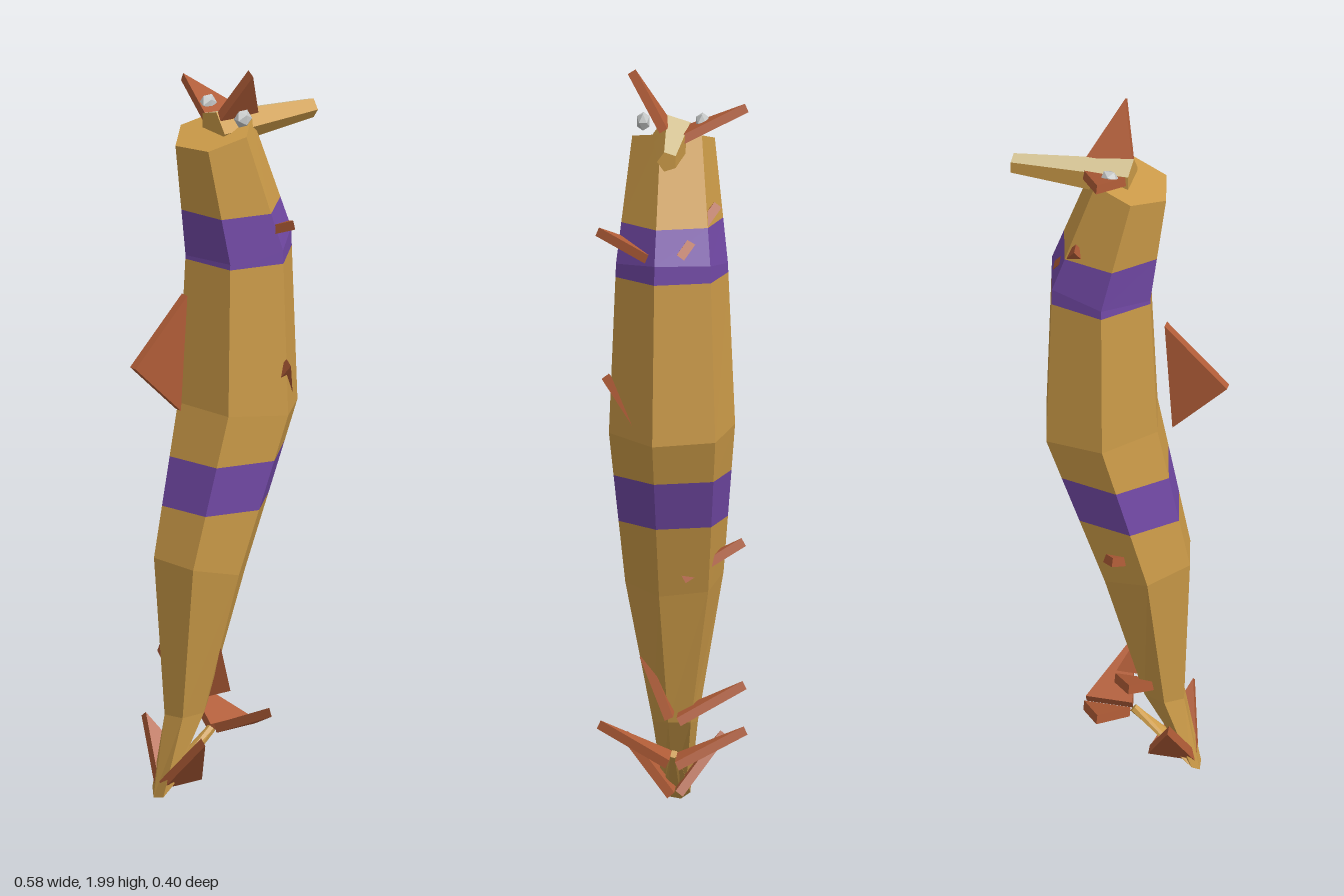
import * as THREE from 'three';

const mat = (name, color) => {
  const m = new THREE.MeshStandardMaterial({ color });
  m.name = name;
  return m;
};
const V = (x, y, z) => new THREE.Vector3(x, y, z);

// Faceted solid from a list of corners, three per triangle
function facets(points) {
  const geo = new THREE.BufferGeometry().setFromPoints(points);
  geo.computeVertexNormals();
  return geo;
}

// Skin a list of equal rings; slotOf(row, side) picks each face's material
function loft(rings, slotOf) {
  const pts = [], slots = [], n = rings[0].length;
  const tri = (slot, a, b, c) => { pts.push(a, b, c); slots.push(slot); };
  for (let r = 0; r < rings.length - 1; r++) {
    for (let i = 0; i < n; i++) {
      const j = (i + 1) % n, A = rings[r], B = rings[r + 1], s = slotOf(r, i);
      tri(s, A[i], A[j], B[j]);
      tri(s, A[i], B[j], B[i]);
    }
  }
  const first = rings[0], last = rings[rings.length - 1];
  for (let k = 1; k < n - 1; k++) {
    tri(0, first[0], first[k + 1], first[k]);
    tri(0, last[0], last[k], last[k + 1]);
  }
  const geo = facets(pts);
  slots.forEach((s, i) => geo.addGroup(i * 3, 3, s));
  return geo;
}

// Flat triangular plate with thickness t
function plate(a, b, c, t = 0.024) {
  const n = b.clone().sub(a).cross(c.clone().sub(a)).setLength(t / 2);
  const top = [a, b, c].map(p => p.clone().add(n));
  const low = [a, b, c].map(p => p.clone().sub(n));
  const pts = [...top, low[0], low[2], low[1]];
  for (let i = 0; i < 3; i++) {
    const j = (i + 1) % 3;
    pts.push(low[i], low[j], top[j], low[i], top[j], top[i]);
  }
  return facets(pts);
}

// Six-sided body ring, tilted in the xy plane
function bodyRing(x, y, r, tilt) {
  const t = THREE.MathUtils.degToRad(tilt);
  return Array.from({ length: 6 }, (_, i) => {
    const a = THREE.MathUtils.degToRad(15 + i * 60), u = r * Math.cos(a);
    return V(x + u * Math.cos(t), y + u * Math.sin(t), r * Math.sin(a));
  });
}

// Level cut between two rings, used for the band edges
const cut = (A, B, y) => A.map((p, i) => p.clone().lerp(B[i], (y - p.y) / (B[i].y - p.y)));

export function createModel() {
  const gold = mat('gold', 0xcc9b48);
  const purple = mat('purple', 0x7249a6);
  const rust = mat('rust', 0xb05c37);
  const cream = mat('cream', 0xd6c596);
  const silver = mat('silver', 0xc4c6c6);

  const model = new THREE.Group();
  const add = (name, geo, material) => {
    const mesh = new THREE.Mesh(geo, material);
    mesh.name = name;
    model.add(mesh);
    return mesh;
  };

  // Body and curled tail, with two purple bands
  const neck = bodyRing(-0.028, 1.81, 0.11, 15);
  const chest = bodyRing(0.052, 1.49, 0.149, 8);
  const belly = bodyRing(0.05, 1.05, 0.168, -6);
  const hip = bodyRing(-0.073, 0.63, 0.131, -13);
  const rings = [
    neck, cut(neck, chest, 1.6), chest, cut(chest, belly, 1.46), belly,
    cut(belly, hip, 0.925), cut(belly, hip, 0.795), hip,
    bodyRing(-0.118, 0.235, 0.06, 8),
    bodyRing(-0.195, 0.036, 0.036, 53),
    bodyRing(-0.035, 0.165, 0.012, 130),
  ];
  const bandRows = [1, 2, 5];
  add('body', loft(rings, row => (bandRows.includes(row) ? 1 : 0)), [gold, purple]);

  // Five-sided tapering snout, two of its sides cream
  const snoutRing = (x, y, r) => Array.from({ length: 5 }, (_, i) => {
    const a = i * Math.PI * 0.4;
    return V(x, y + r * Math.sin(a), r * Math.cos(a));
  });
  add('snout', loft([snoutRing(0.29, 1.81, 0.027), snoutRing(-0.032, 1.816, 0.054)],
    (row, side) => (side === 1 || side === 3 ? 1 : 0)), [gold, cream]);

  // Eyes
  for (const side of [1, -1]) {
    const eye = add(side > 0 ? 'leftEye' : 'rightEye', new THREE.IcosahedronGeometry(0.026, 0), silver);
    eye.position.set(0.01, 1.858, side * 0.077);
    eye.scale.z = 0.75;
  }

  // Side fins: base start x, base y, base z, apex y, apex z
  const fins = [
    ['headFin', -0.03, 1.85, 0.02, 1.99, 0.107],
    ['headFin', -0.03, 1.825, -0.025, 1.897, -0.193],
    ['chestFin', 0.047, 1.525, 0.06, 1.58, 0.193],
    ['chestFin', 0.047, 1.53, -0.028, 1.655, -0.122],
    ['bellyFin', 0.045, 1.06, 0.07, 1.195, 0.172],
    ['hipFin', -0.07, 0.65, -0.03, 0.733, -0.183],
    ['tailFin', -0.114, 0.268, 0.01, 0.42, 0.08],
    ['tailFin', -0.114, 0.26, -0.015, 0.343, -0.183],
    ['curlFin', -0.03, 0.165, 0.01, 0.252, 0.193],
    ['curlFin', -0.03, 0.16, -0.015, 0.24, -0.19],
    ['tipFin', -0.205, 0.045, 0.01, 0.19, 0.135],
    ['tipFin', -0.205, 0.05, -0.012, 0.195, -0.125],
  ];
  for (const [name, x, y, z, tipY, tipZ] of fins) {
    add(name, plate(V(x, y, z), V(x + 0.125, y, z), V(x + 0.043, tipY, tipZ)), rust);
  }

  // Back fin
  add('backFin', plate(V(-0.143, 1.065, 0), V(-0.122, 1.378, 0), V(-0.29, 1.21, 0)), rust);

  return model;
}
